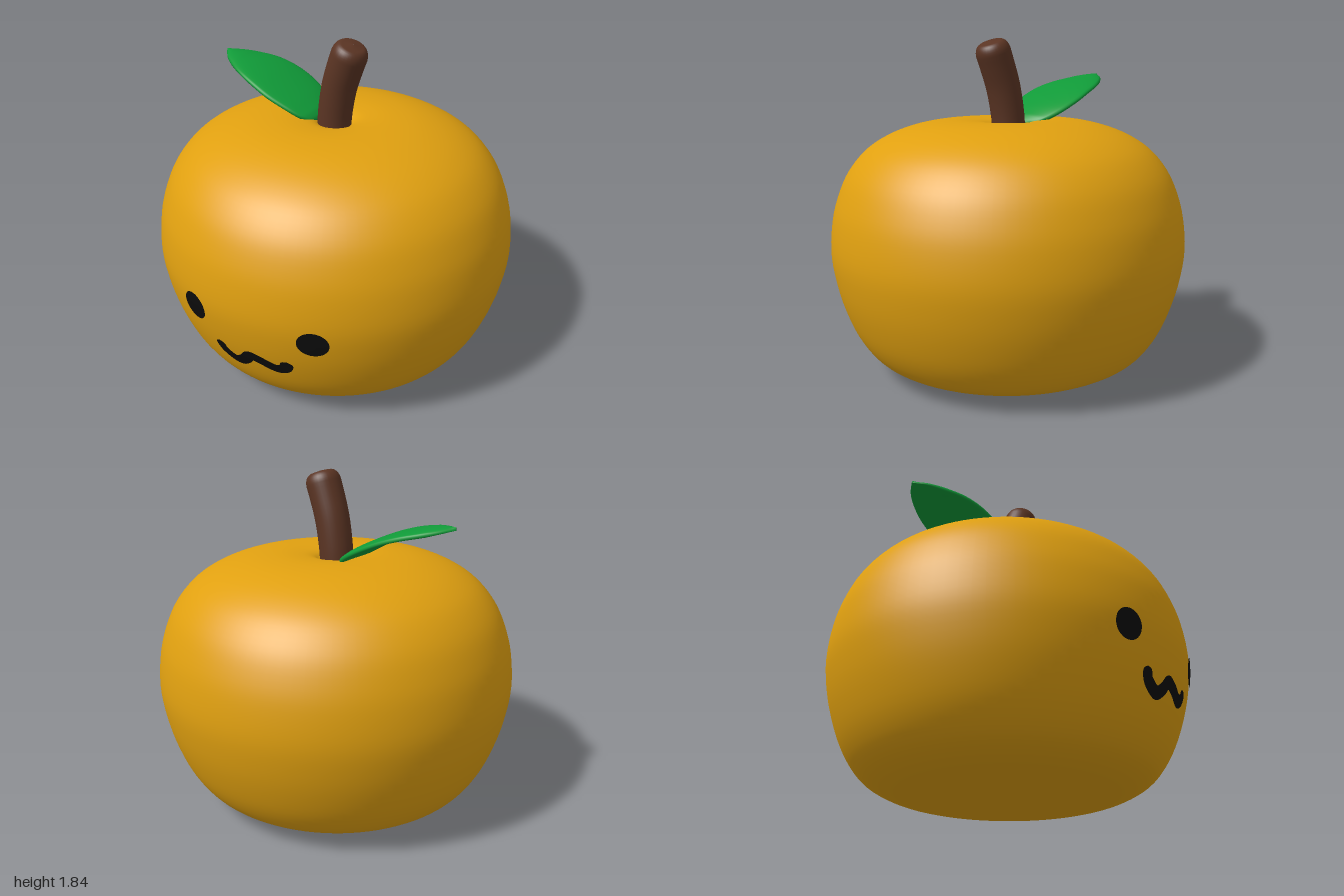
import * as THREE from 'three';

const DEPTH = 0.988; // body is very slightly narrower front to back

function material(name, color) {
  const m = new THREE.MeshStandardMaterial({ color });
  m.name = name;
  return m;
}

// Skin over closed rings of points that advance along the part
function loft(rings) {
  const n = rings[0].length, pos = [], idx = [];
  rings.forEach(r => r.forEach(p => pos.push(p.x, p.y, p.z)));
  for (let i = 0; i < rings.length - 1; i++) {
    for (let j = 0; j < n; j++) {
      const a = i * n + j, b = i * n + (j + 1) % n;
      idx.push(a, b, a + n, b, b + n, a + n);
    }
  }
  const g = new THREE.BufferGeometry();
  g.setAttribute('position', new THREE.Float32BufferAttribute(pos, 3));
  g.setIndex(idx);
  g.computeVertexNormals();
  return g;
}

// Body profile: flat base, bulging side, dimple around the stem
const profile = new THREE.SplineCurve([
  [0, 0], [0.2, 0.006], [0.4, 0.014], [0.6, 0.034], [0.71, 0.068], [0.80, 0.13],
  [0.88, 0.245], [0.94, 0.39], [0.98, 0.54], [1, 0.70], [0.985, 0.87], [0.95, 1.0],
  [0.895, 1.12], [0.81, 1.225], [0.71, 1.297], [0.59, 1.35], [0.45, 1.386],
  [0.3, 1.4], [0.18, 1.394], [0.12, 1.38], [0.08, 1.355], [0, 1.33],
].map(p => new THREE.Vector2(...p))).getPoints(84);
profile[0].x = profile[profile.length - 1].x = 0;

function bodyRadius(y) {
  const i = profile.findIndex(p => p.y > y), a = profile[i - 1], b = profile[i];
  return a.x + (b.x - a.x) * (y - a.y) / (b.y - a.y);
}

// Wrap a flat face detail onto the front of the body
function wrap(geometry) {
  const p = geometry.attributes.position;
  for (let i = 0; i < p.count; i++) {
    const x = p.getX(i), r = bodyRadius(p.getY(i)) + 0.006;
    p.setZ(i, DEPTH * Math.sqrt(r * r - x * x));
  }
  geometry.computeVertexNormals();
  return geometry;
}

function eyeGeometry(x, y, w, h) {
  return wrap(new THREE.RingGeometry(0.001, 1, 32, 4).scale(w, h, 1).translate(x, y, 0));
}

// Wavy stroke with rounded ends
function mouthGeometry() {
  const path = new THREE.SplineCurve([
    [-0.13, 0.475], [-0.11, 0.415], [-0.035, 0.375], [0.02, 0.405], [0.06, 0.45],
    [0.12, 0.437], [0.2, 0.405], [0.25, 0.425], [0.265, 0.475],
  ].map(p => new THREE.Vector2(...p)));
  const g = new THREE.PlaneGeometry(1, 1, 72, 2), p = g.attributes.position;
  for (let i = 0; i < p.count; i++) {
    const t = p.getX(i) + 0.5, end = Math.min(1, Math.min(t, 1 - t) / 0.05);
    const w = 0.033 * Math.sqrt(1 - (1 - end) ** 2) * p.getY(i) * 2;
    const c = path.getPointAt(t), d = path.getTangentAt(t);
    p.setXY(i, c.x - d.y * w, c.y + d.x * w);
  }
  return wrap(g);
}

// Bent stem with a bevelled, nearly flat top
function stemGeometry() {
  const path = new THREE.CatmullRomCurve3([
    [-0.008, 1.3, 0.003], [0, 1.42, 0.005], [0.03, 1.58, 0.012],
    [0.07, 1.7, 0.02], [0.095, 1.765, 0.024],
  ].map(p => new THREE.Vector3(...p)));
  const ring = (c, d, r) => {
    const u = new THREE.Vector3(0, 0, 1).addScaledVector(d, -d.z).normalize();
    const v = d.clone().cross(u);
    return Array.from({ length: 32 }, (_, j) => {
      const a = j / 32 * Math.PI * 2;
      return c.clone().addScaledVector(u, r * Math.cos(a)).addScaledVector(v, r * Math.sin(a));
    });
  };
  const rings = [];
  for (let i = 0; i <= 20; i++) {
    const t = i / 20;
    rings.push(ring(path.getPointAt(t), path.getTangentAt(t), 0.092 + 0.005 * t));
  }
  const end = path.getPointAt(1), d = path.getTangentAt(1);
  for (let i = 1; i <= 8; i++) {
    const a = i / 8 * Math.PI / 2;
    rings.push(ring(end.clone().addScaledVector(d, 0.062 * Math.sin(a)), d, 0.055 + 0.042 * Math.cos(a)));
  }
  rings.push(ring(end.clone().addScaledVector(d, 0.07), d, 0.0005));
  return loft(rings);
}

// Pointed leaf, arched along its length, with a rounded rim
function leafGeometry() {
  const stations = [ // x, y, z of the midrib, half width
    [-0.09, 1.378, -0.01, 0.06], [-0.11, 1.392, -0.015, 0.11], [-0.15, 1.418, -0.022, 0.152],
    [-0.22, 1.46, -0.03, 0.187], [-0.32, 1.51, -0.033, 0.207], [-0.42, 1.553, -0.038, 0.2],
    [-0.52, 1.585, -0.045, 0.175], [-0.62, 1.607, -0.05, 0.125], [-0.7, 1.624, -0.054, 0.068],
    [-0.755, 1.634, -0.057, 0.004],
  ];
  const curve = f => new THREE.CatmullRomCurve3(stations.map(f), false, 'catmullrom');
  const rib = curve(s => new THREE.Vector3(s[0], s[1], s[2]));
  const width = curve(s => new THREE.Vector3(s[3], 0, 0));
  const section = (t, k) => {
    const c = rib.getPoint(t), w = width.getPoint(t).x * k, d = rib.getTangent(t);
    const h = 0.019 * Math.min(1, 0.3 + 4 * t, 0.2 + 4 * (1 - t)) * k;
    return Array.from({ length: 32 }, (_, j) => {
      const a = j / 32 * Math.PI * 2, ca = Math.cos(a), sa = Math.sin(a);
      const lift = h * Math.sign(sa) * Math.sqrt(Math.abs(sa)) - 0.012 * ca * ca * k;
      return new THREE.Vector3(c.x + d.y * lift, c.y - d.x * lift, c.z + w * ca);
    });
  };
  const rings = [section(0, 0.001)];
  for (let i = 0; i <= 45; i++) rings.push(section(i / 45, 1));
  rings.push(section(1, 0.001));
  return loft(rings);
}

export function createModel() {
  const orange = material('orange skin', 0xe0a010);
  const brown = material('brown stem', 0x5a3423);
  const green = material('leaf green', 0x109a38);
  const black = material('face black', 0x0c0c0c);

  const model = new THREE.Group();
  model.name = 'fruit';
  const add = (name, geometry, mat) => {
    const mesh = new THREE.Mesh(geometry, mat);
    mesh.name = name;
    model.add(mesh);
  };

  add('body', new THREE.LatheGeometry(profile, 96).scale(1, 1, DEPTH), orange);
  add('stem', stemGeometry(), brown);
  add('leaf', leafGeometry(), green);
  add('rightEye', eyeGeometry(-0.275, 0.64, 0.078, 0.08), black);
  add('leftEye', eyeGeometry(0.405, 0.627, 0.075, 0.075), black);
  add('mouth', mouthGeometry(), black);
  return model;
}
